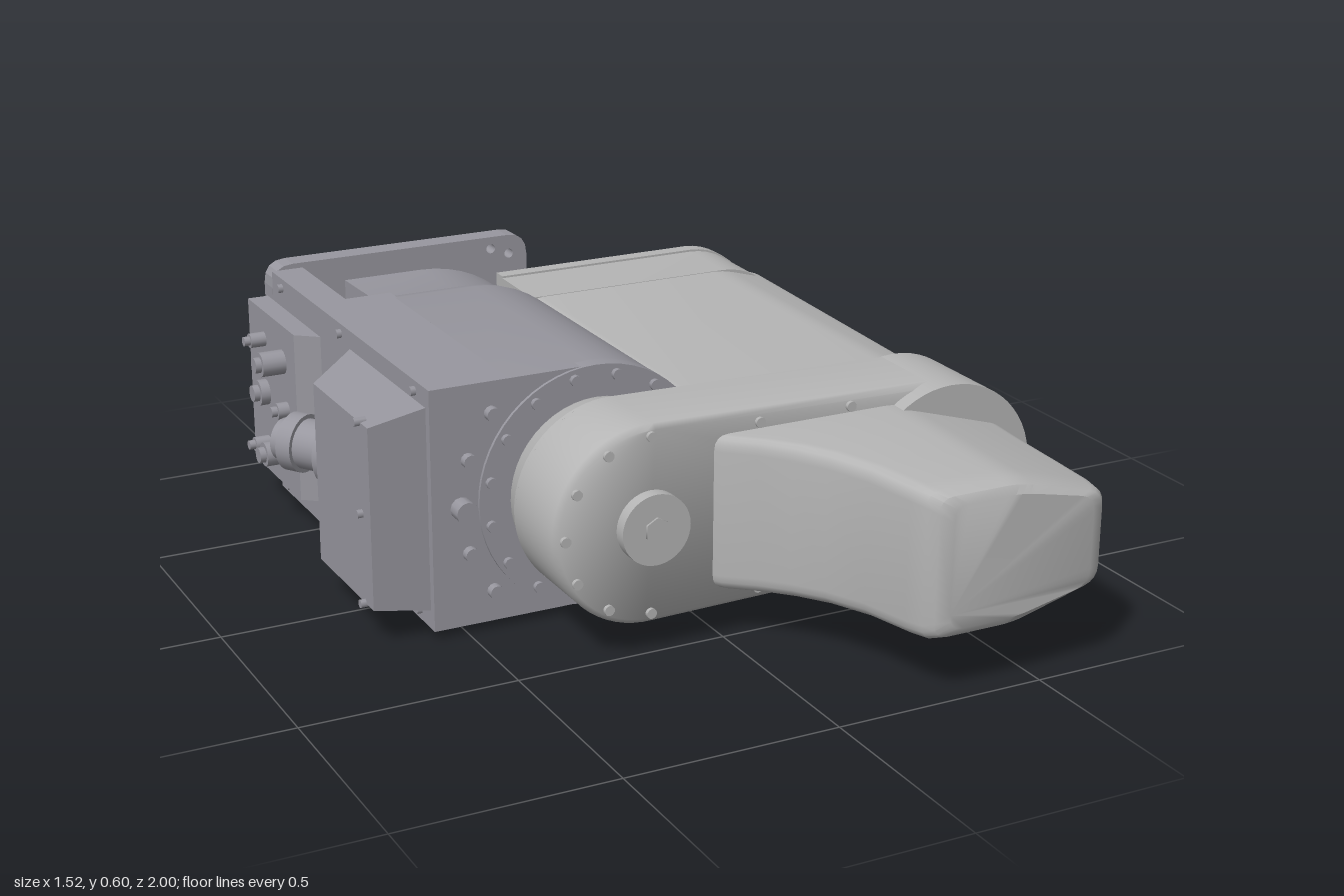
import * as THREE from 'three';
import { toCreasedNormals } from 'three/addons/utils/BufferGeometryUtils.js';

const CY = 0.303; // height of the common centre plane
const HUB = -0.185, RING = 0.55; // x of the two rotation axes

// Rounds the corners of a closed polygon [[x, y], ...]
function roundPoly(pts, r, n = 4) {
  const out = [];
  pts.forEach((p, i) => {
    const b = new THREE.Vector2(...p);
    const toward = (q) => {
      const d = new THREE.Vector2(...q).sub(b);
      return b.clone().addScaledVector(d.clone().normalize(), Math.min(r, d.length() * 0.45));
    };
    const a = toward(pts[(i + pts.length - 1) % pts.length]);
    const c = toward(pts[(i + 1) % pts.length]);
    new THREE.QuadraticBezierCurve(a, b, c).getPoints(n).forEach((v) => out.push([v.x, v.y]));
  });
  return out;
}

// Skins counter-clockwise convex sections { z, pts }, ordered back to front
function loft(sections, crease = 0.5) {
  const pos = [];
  const tri = (...v) => v.forEach(([p, z]) => pos.push(p[0], p[1] + CY, z));
  const n = sections[0].pts.length;
  for (let s = 0; s < sections.length - 1; s++) {
    const { z: z0, pts: A } = sections[s], { z: z1, pts: B } = sections[s + 1];
    for (let i = 0; i < n; i++) {
      const j = (i + 1) % n;
      tri([A[i], z0], [A[j], z0], [B[j], z1]);
      tri([A[i], z0], [B[j], z1], [B[i], z1]);
    }
  }
  const first = sections[0], last = sections[sections.length - 1];
  for (let i = 1; i < n - 1; i++) {
    tri([first.pts[0], first.z], [first.pts[i + 1], first.z], [first.pts[i], first.z]);
    tri([last.pts[0], last.z], [last.pts[i], last.z], [last.pts[i + 1], last.z]);
  }
  const g = new THREE.BufferGeometry();
  g.setAttribute('position', new THREE.Float32BufferAttribute(pos, 3));
  return toCreasedNormals(g, crease);
}

const arc = (cx, rx, ry, a0, a1, n = 24) => Array.from({ length: n + 1 }, (_, i) => {
  const a = THREE.MathUtils.degToRad(a0 + (a1 - a0) * i / n);
  return [cx + rx * Math.cos(a), ry * Math.sin(a)];
});

export function createModel() {
  const model = new THREE.Group();
  model.name = 'robotWrist';
  const material = (name, color) => Object.assign(new THREE.MeshStandardMaterial({ color }), { name });
  const light = material('lightGrey', 0xb5b5b5);
  const slate = material('slateGrey', 0x98979f);

  const add = (name, geo, mat) => {
    const m = new THREE.Mesh(geo, mat);
    m.name = name;
    model.add(m);
    return m;
  };
  const box = (name, mat, x0, x1, y0, y1, z0, z1) =>
    add(name, new THREE.BoxGeometry(x1 - x0, y1 - y0, z1 - z0), mat)
      .position.set((x0 + x1) / 2, (y0 + y1) / 2, (z0 + z1) / 2);
  // Cylinder along z from z0 (radius r0) to z1 (radius r1)
  const cylZ = (name, mat, x, y, z0, z1, r0, r1 = r0, seg = 40) => {
    const m = add(name, new THREE.CylinderGeometry(r1, r0, z1 - z0, seg), mat);
    m.rotation.x = Math.PI / 2;
    m.position.set(x, y, (z0 + z1) / 2);
  };
  // Cylinder along x
  const cylX = (name, mat, x0, x1, y, z, r, seg = 20) => {
    const m = add(name, new THREE.CylinderGeometry(r, r, x1 - x0, seg), mat);
    m.rotation.z = Math.PI / 2;
    m.position.set((x0 + x1) / 2, y, z);
  };

  // Base housing: rounded core that steps down towards the rear flange
  const core = (z, h) => ({ z, pts: [[-0.39, -h], ...arc(HUB, 0.285, h, -90, 90), [-0.39, h]] });
  add('baseCore', loft([core(-0.77, 0.235), core(-0.56, 0.24), core(-0.51, 0.255), core(-0.47, 0.275),
    core(-0.43, 0.283), core(0.23, 0.283)]), slate);
  box('baseSideWall', slate, -0.58, -0.5, 0.02, 0.586, -0.77, 0.23);
  box('baseShoulder', slate, -0.5, -0.385, 0.02, 0.586, -0.475, 0.23);
  box('basePocketFloor', slate, -0.5, -0.385, 0.12, 0.486, -0.77, -0.475);

  // Rear mounting flange with corner holes
  const plate = new THREE.Shape(roundPoly(
    [[-0.58, 0.01], [0.11, 0.01], [0.11, 0.598], [-0.58, 0.598]], 0.055).map((p) => new THREE.Vector2(...p)));
  for (const x of [-0.53, 0.01, 0.06]) for (const s of [-1, 1]) {
    const dy = x === 0.06 ? 0.246 : 0.264;
    plate.holes.push(new THREE.Path().absarc(x, CY + s * dy, 0.012, 0, Math.PI * 2, true));
  }
  add('mountingFlange', new THREE.ExtrudeGeometry(plate, { depth: 0.058, bevelEnabled: false, curveSegments: 12 }),
    slate).position.z = -0.83;
  cylZ('flangeDisc', light, HUB, CY, -0.843, -0.82, 0.145);
  box('flangeFoot', slate, -0.35, -0.02, 0, 0.03, -0.825, -0.775);

  // Front bearing seat, bolt ring and neck
  cylZ('bearingSeat', slate, HUB, CY, 0.2, 0.238, 0.285, 0.285, 56);
  cylZ('neck', light, HUB, CY, 0.22, 0.31, 0.205, 0.23, 48);
  for (let i = 0; i < 16; i++) {
    const a = (i + 0.5) * Math.PI / 8;
    cylZ('seatBolt', slate, HUB + 0.262 * Math.cos(a), CY + 0.262 * Math.sin(a), 0.23, 0.25, 0.013, 0.013, 10);
  }
  for (const dy of [-0.21, -0.11, 0, 0.11, 0.21]) {
    const x = Math.abs(dy) > 0.2 ? -0.435 : dy ? -0.492 : -0.51;
    cylZ('housingBolt', slate, x, CY + dy, 0.22, dy ? 0.25 : 0.268, dy ? 0.017 : 0.026, dy ? 0.017 : 0.026, 12);
  }

  // Side junction cover, tapered outwards with a slanted rear
  const cover = (x, h, zr) => [[x, -h, 0.21], [x, -h, zr], [x, h, zr], [x, h, 0.21]];
  const inner = cover(-0.57, 0.24, -0.25), outer = cover(-0.715, 0.213, -0.12);
  const cp = [];
  const quad = (a, b, c, d) => [a, b, c, a, c, d].forEach((p) => cp.push(p[0], p[1] + CY, p[2]));
  quad(outer[3], outer[2], outer[1], outer[0]);
  for (let i = 0; i < 4; i++) {
    const j = (i + 1) % 4;
    quad(outer[i], outer[j], inner[j], inner[i]);
  }
  const coverGeo = new THREE.BufferGeometry();
  coverGeo.setAttribute('position', new THREE.Float32BufferAttribute(cp, 3));
  coverGeo.computeVertexNormals();
  add('junctionCover', coverGeo, slate);
  for (const y of [0.09, CY, 0.516]) cylX('coverBolt', slate, -0.728, -0.7, y, 0.16, 0.01, 8);
  for (const y of [0.045, 0.562]) for (const z of [-0.7, -0.3, 0.15]) cylX('wallBolt', slate, -0.592, -0.57, y, z, 0.011, 8);

  // Angled cable connector
  const plug = new THREE.Group();
  plug.name = 'cableConnector';
  for (const [r, h, y] of [[0.085, 0.07, 0.0], [0.06, 0.15, 0.08], [0.07, 0.04, 0.13], [0.05, 0.02, 0.17]]) {
    const m = new THREE.Mesh(new THREE.CylinderGeometry(r, r, h, 28), slate);
    m.position.y = y;
    plug.add(m);
  }
  plug.position.set(-0.61, CY, -0.215);
  plug.quaternion.setFromUnitVectors(new THREE.Vector3(0, 1, 0), new THREE.Vector3(-0.55, 0, -0.83).normalize());
  model.add(plug);
  box('connectorBase', slate, -0.635, -0.57, 0.2, 0.41, -0.31, -0.17);

  // Service panel with small fittings
  const panel = new THREE.Shape([[-0.57, -0.81], [-0.632, -0.81], [-0.632, -0.48], [-0.57, -0.43]]
    .map(([x, z]) => new THREE.Vector2(x, -z)));
  const panelMesh = add('servicePanel', new THREE.ExtrudeGeometry(panel, { depth: 0.42, bevelEnabled: false }), slate);
  panelMesh.rotation.x = -Math.PI / 2;
  panelMesh.position.y = 0.093;
  for (const [y, z, r, x] of [[CY, -0.7, 0.032, -0.655], [0.42, -0.57, 0.03, -0.69], [0.19, -0.57, 0.03, -0.69],
    [0.44, -0.7, 0.018, -0.67], [0.17, -0.7, 0.018, -0.67], [CY, -0.55, 0.02, -0.66]]) {
    cylX('fitting', slate, x, -0.62, y, z, r, 16);
    cylX('fittingTip', slate, x - 0.015, x, y, z, r * 0.65, 12);
  }

  // Forearm housing: faceted flank, rounded rear end
  const arm = (z, xr, h, e = 0) => ({
    z, pts: roundPoly([[0, -h], [0.54, -h], [xr - 0.06, -0.17 - e], [xr, -0.085 - e], [xr, 0.085 + e],
      [xr - 0.06, 0.17 + e], [0.54, h], [0, h]], 0.03),
  });
  add('forearm', loft([arm(-0.54, 0.735, 0.208), arm(0.31, 0.698, 0.203)], 0.4), light);
  const cap = (z, r) => ({ z, pts: [[0, -r], ...arc(RING - 0.01, 0.745 - RING, r, -90, 90), [0, r]] });
  add('forearmRear', loft([cap(-0.68, 0.212), cap(-0.5, 0.209)]), light);
  add('forearmRearLid', loft([cap(-0.715, 0.217), cap(-0.678, 0.217)]), light);
  const oval = new THREE.Shape(roundPoly([[0.17, 0.21], [0.3, 0.21], [0.3, 0.4], [0.17, 0.4]], 0.07, 8)
    .map((p) => new THREE.Vector2(...p)));
  add('accessPlate', new THREE.ExtrudeGeometry(oval, { depth: 0.015, bevelEnabled: false }), light).position.z = -0.728;
  for (const [x, dy] of [[0.06, 0.18], [0.36, 0.18], [0.7, 0.1]]) for (const s of [-1, 1])
    cylZ('lidBolt', light, x, CY + s * dy, -0.727, -0.71, 0.014, 0.014, 10);

  // Rear drive with stepped output shaft
  cylZ('driveHousing', light, RING, CY, -0.91, -0.7, 0.148, 0.148, 48);
  cylZ('driveStep', light, RING, CY, -0.937, -0.9, 0.095);
  cylZ('driveCollar', light, RING, CY, -0.968, -0.93, 0.078);
  cylZ('driveShaft', light, RING, CY, -0.985, -0.96, 0.065);
  const rim = new THREE.Shape().absarc(0, 0, 0.065, 0, Math.PI * 2);
  rim.holes.push(new THREE.Path().absarc(0, 0, 0.03, 0, Math.PI * 2, true));
  add('shaftRim', new THREE.ExtrudeGeometry(rim, { depth: 0.016, bevelEnabled: false, curveSegments: 24 }), light)
    .position.set(RING, CY, -1);
  for (let i = 0; i < 8; i++) {
    const a = (i + 0.5) * Math.PI / 4;
    cylZ('driveBolt', light, RING + 0.112 * Math.cos(a), CY + 0.112 * Math.sin(a), -0.935, -0.9, 0.012, 0.012, 10);
  }

  // Link joining the hub to the wrist ring
  const link = (z, g) => ({
    z, pts: [...arc(HUB, 0.23 - g, 0.23 - g, 87, 273, 32), ...arc(RING, 0.215 - g, 0.215 - g, -90, 90, 32)],
  });
  add('link', loft([link(0.3, 0), link(0.493, 0), link(0.505, 0.012)], 0.9), light);
  cylZ('wristRing', light, RING, CY, 0.298, 0.545, 0.218, 0.218, 56);
  cylZ('hubCap', light, HUB, CY, 0.5, 0.535, 0.082);
  cylZ('hubPin', light, HUB, CY, 0.53, 0.54, 0.03, 0.03, 6);
  for (let i = 0; i < 7; i++) {
    const a = Math.PI / 2 + i * Math.PI / 6;
    cylZ('linkBolt', light, HUB + 0.205 * Math.cos(a), CY + 0.205 * Math.sin(a), 0.49, 0.514, 0.012, 0.012, 10);
  }
  for (const x of [0.08, 0.31]) for (const s of [-1, 1])
    cylZ('linkBolt', light, x, CY + s * 0.195, 0.49, 0.514, 0.012, 0.012, 10);

  // Nose cover, swept in on its hub side and tapered on the other
  const nose = ([z, xl, xr, h]) => ({
    z, pts: roundPoly([[xl, -h], [0.43, -h], [xr, -0.1], [xr, 0.1], [0.43, h], [xl, h]], 0.035),
  });
  add('noseCover', loft([[0.48, -0.05, 0.7, 0.18], [0.52, -0.02, 0.697, 0.18], [0.57, 0.038, 0.693, 0.179],
    [0.63, 0.092, 0.688, 0.178], [0.7, 0.137, 0.684, 0.176], [0.8, 0.177, 0.679, 0.173], [0.92, 0.202, 0.672, 0.17],
    [0.965, 0.215, 0.662, 0.167], [0.988, 0.232, 0.645, 0.158], [1, 0.262, 0.615, 0.14]].map(nose), 0.6), light);
  return model;
}
